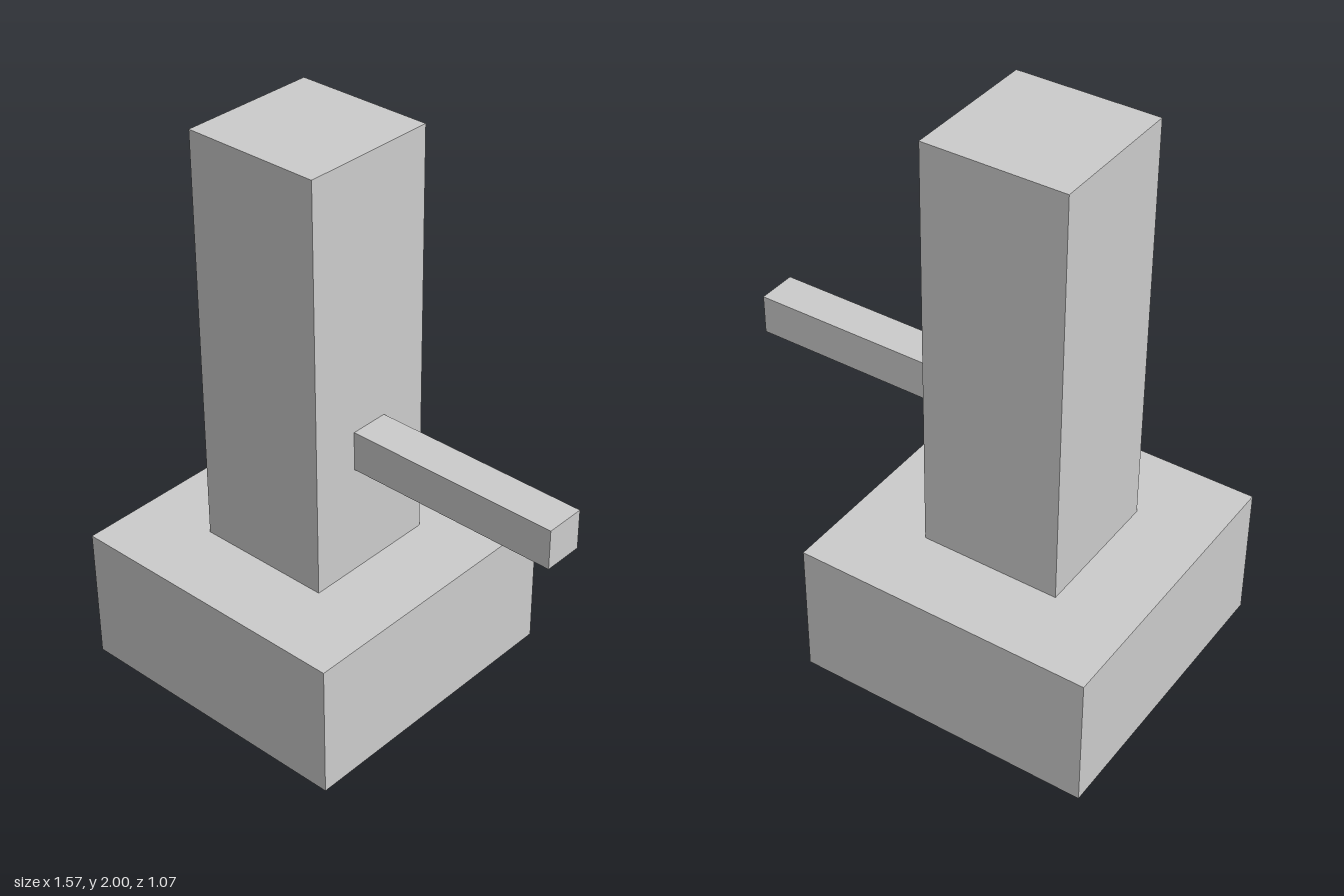
import * as THREE from 'three';

export function createModel() {
  const model = new THREE.Group();
  const material = new THREE.MeshStandardMaterial({ color: 0xcccccc, flatShading: true });

  // Adds a named box spanning the given [min, max] ranges.
  function addBox(name, [x0, x1], [y0, y1], [z0, z1]) {
    const mesh = new THREE.Mesh(new THREE.BoxGeometry(x1 - x0, y1 - y0, z1 - z0), material);
    mesh.name = name;
    mesh.position.set((x0 + x1) / 2, (y0 + y1) / 2, (z0 + z1) / 2);
    model.add(mesh);
  }

  // Square plinth, tall post standing on it, and a side arm flush with the post
  addBox('base', [-0.787, 0.285], [0, 0.497], [-0.536, 0.536]);
  addBox('column', [-0.505, 0], [0.497, 2], [-0.252, 0.252]);
  addBox('arm', [0, 0.787], [0.898, 1.041], [-0.067, 0.076]);

  return model;
}
